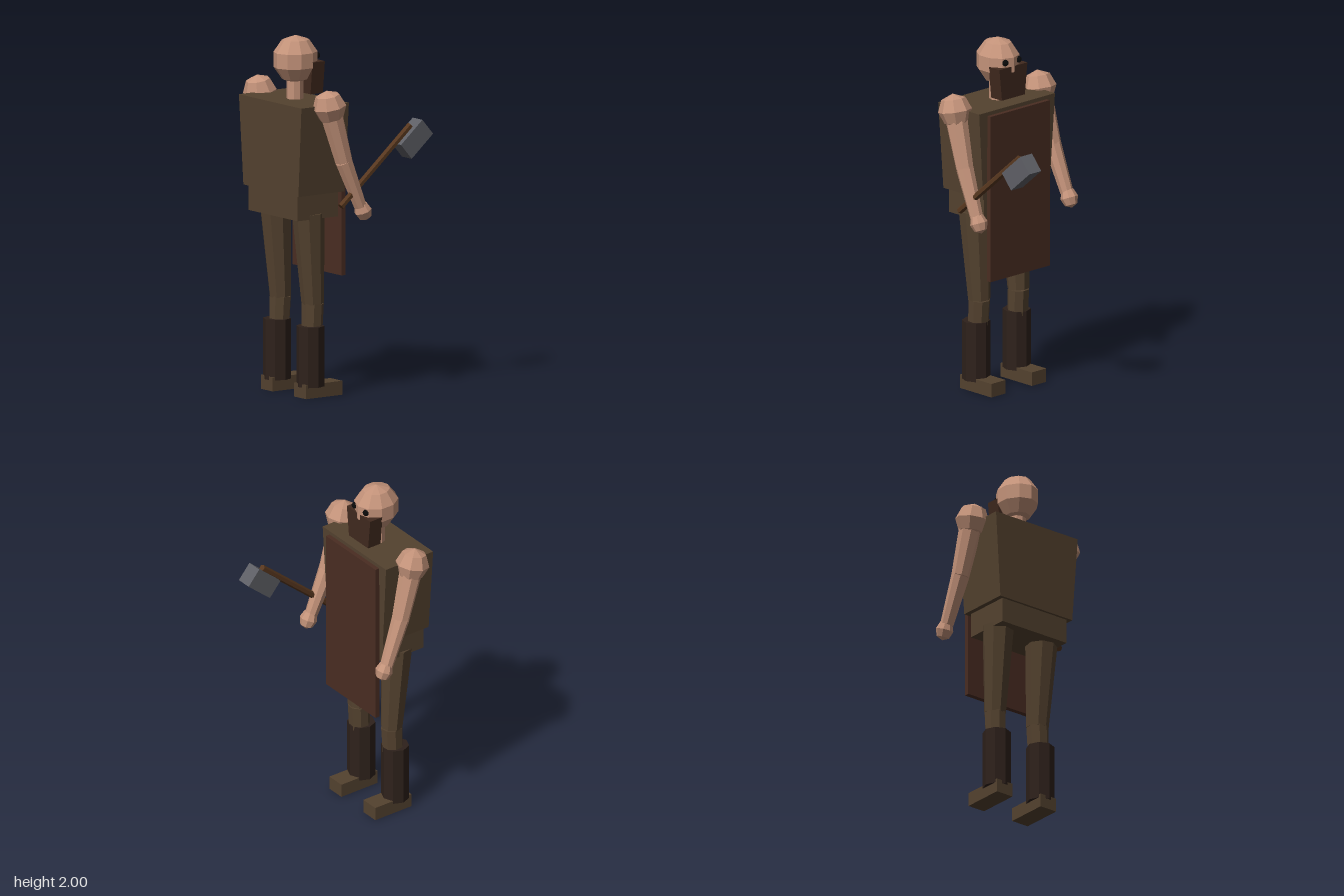
import * as THREE from 'three';

const V = (x, y, z) => new THREE.Vector3(x, y, z);
const mat = (color) => new THREE.MeshStandardMaterial({ color, flatShading: true });

export function createModel() {
  const model = new THREE.Group();
  const skin = mat(0xc4937a), cloth = mat(0x54422f), leather = mat(0x4a2d22);
  const boot = mat(0x2e211b), hair = mat(0x40291e), steel = mat(0x5e5f65);
  const wood = mat(0x59381f), black = mat(0x0a0a0a);

  function add(name, geometry, material, pos, parent = model) {
    const mesh = new THREE.Mesh(geometry, material);
    mesh.name = name;
    mesh.position.copy(pos);
    parent.add(mesh);
    return mesh;
  }

  // Box whose lower end is scaled in x and z
  function taperedBox(w, h, d, sx, sz) {
    const g = new THREE.BoxGeometry(w, h, d);
    const p = g.attributes.position;
    for (let i = 0; i < p.count; i++) {
      if (p.getY(i) < 0) p.setXYZ(i, p.getX(i) * sx, p.getY(i), p.getZ(i) * sz);
    }
    g.computeVertexNormals();
    return g;
  }

  // Faceted limb from point a to point b
  function limb(name, a, b, ra, rb, sides, material, parent = model) {
    const dir = b.clone().sub(a);
    const g = new THREE.CylinderGeometry(rb, ra, dir.length(), sides);
    const mesh = add(name, g, material, a.clone().add(b).multiplyScalar(0.5), parent);
    mesh.quaternion.setFromUnitVectors(V(0, 1, 0), dir.normalize());
    return mesh;
  }

  // Body
  add('torso', taperedBox(0.58, 0.5, 0.325, 0.88, 0.97), cloth, V(0, 1.395, 0.208));
  add('hips', new THREE.BoxGeometry(0.455, 0.141, 0.276), cloth, V(0, 1.075, 0.212));
  add('apron', new THREE.BoxGeometry(0.453, 0.953, 0.029), leather, V(0, 1.147, 0.035));

  // Head, facing -z
  limb('neck', V(0, 1.62, 0.2), V(0, 1.78, 0.2), 0.047, 0.047, 8, skin);
  const skull = new THREE.SphereGeometry(1, 10, 5);
  skull.rotateY(Math.PI / 2);
  skull.scale(0.118, 0.135, 0.134);
  add('head', skull, skin, V(0, 1.865, 0.197));
  add('beard', taperedBox(0.214, 0.18, 0.085, 0.82, 1), hair, V(0, 1.765, 0.117));

  for (const s of [-1, 1]) {
    add('eye', new THREE.SphereGeometry(0.019, 8, 6), black, V(s * 0.05, 1.882, 0.088));

    // Arms, reaching forward
    const arm = new THREE.Group();
    arm.name = s > 0 ? 'leftArm' : 'rightArm';
    model.add(arm);
    const shoulder = V(s * 0.323, 1.642, 0.203);
    const elbow = V(s * 0.335, 1.33, 0.113);
    const wrist = V(s * 0.345, 1.07, 0.008);
    const ball = add('shoulder', new THREE.SphereGeometry(0.095, 8, 4), skin, shoulder, arm);
    ball.rotation.x = 0.2;
    limb('upperArm', shoulder, elbow, 0.066, 0.05, 8, skin, arm);
    limb('forearm', elbow, wrist, 0.05, 0.037, 8, skin, arm);
    const hand = add('hand', new THREE.SphereGeometry(0.05, 8, 4), skin, V(s * 0.346, 1.043, -0.01), arm);
    hand.scale.y = 1.15;
    hand.rotation.x = 0.38;

    // Legs and boots
    const leg = new THREE.Group();
    leg.name = s > 0 ? 'leftLeg' : 'rightLeg';
    model.add(leg);
    const knee = V(s * 0.15, 0.52, 0.19);
    limb('thigh', V(s * 0.153, 1.03, 0.222), knee, 0.09, 0.062, 8, cloth, leg);
    limb('shin', knee, V(s * 0.153, 0.06, 0.21), 0.062, 0.052, 8, cloth, leg);
    limb('boot', V(s * 0.155, 0.06, 0.21), V(s * 0.155, 0.397, 0.21), 0.078, 0.078, 8, boot, leg);
    add('foot', new THREE.BoxGeometry(0.11, 0.078, 0.248), cloth, V(s * 0.155, 0.039, 0.156), leg);
  }

  // Hammer: local y runs along the handle
  const hammer = new THREE.Group();
  hammer.name = 'hammer';
  hammer.position.set(0.345, 1.285, -0.095);
  hammer.rotation.x = -Math.atan2(0.473, 0.407);
  model.add(hammer);
  add('hammerHandle', new THREE.CylinderGeometry(0.019, 0.019, 0.624, 6), wood, V(0, 0, 0), hammer);
  add('hammerHead', new THREE.BoxGeometry(0.09, 0.193, 0.112), steel, V(0, 0.275, -0.067), hammer);

  return model;
}
